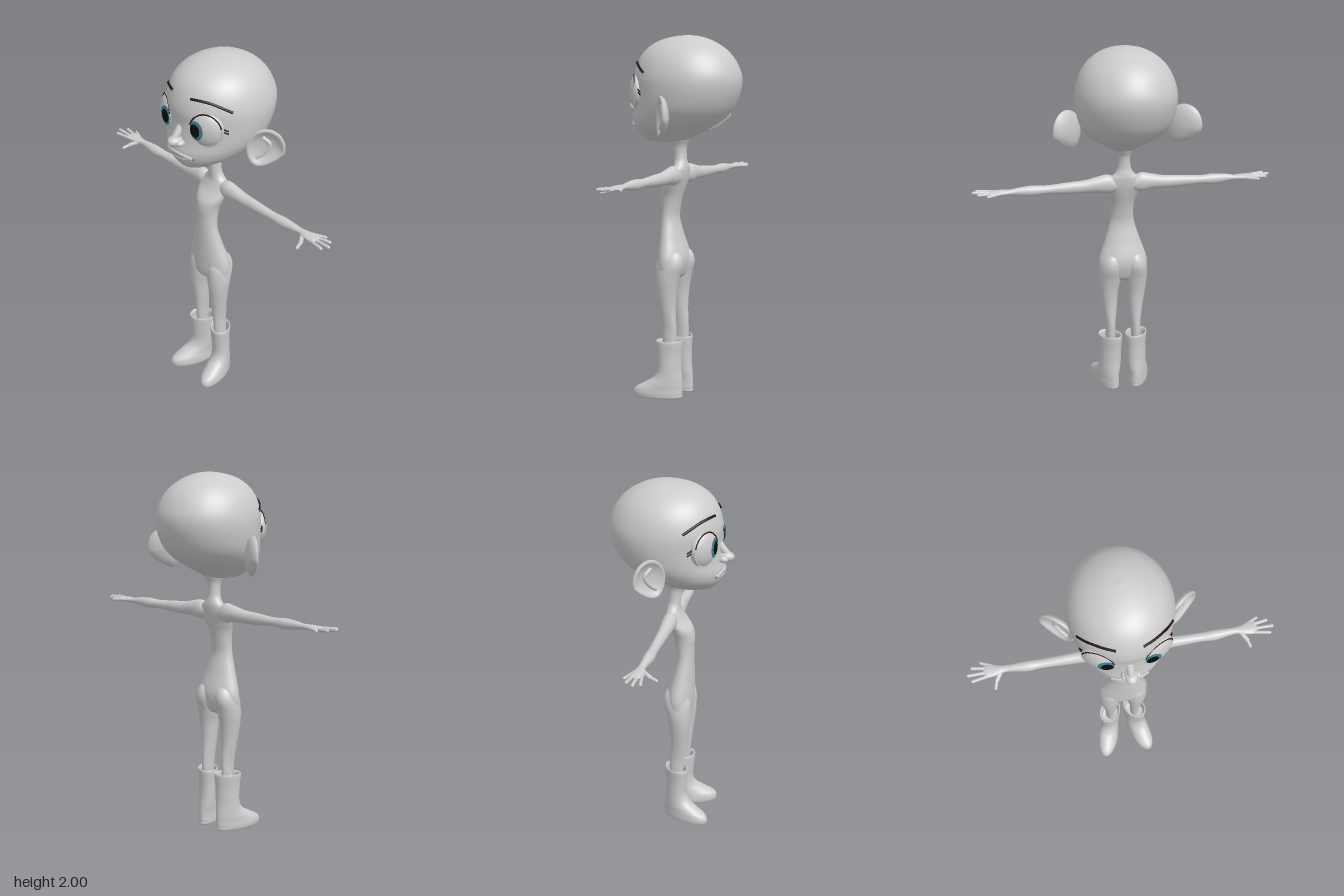
import * as THREE from 'three';

const paint = (color) => new THREE.MeshStandardMaterial({ color, side: THREE.DoubleSide });
const GREY = paint(0xcccccc), DARK = paint(0x2a1616), IRIS = paint(0x3d7f90), PUPIL = paint(0x080c0e);
const V = (x, y, z) => new THREE.Vector3(x, y, z);

function add(parent, name, geometry, material = GREY) {
  const mesh = new THREE.Mesh(geometry, material);
  mesh.name = name;
  parent.add(mesh);
  return mesh;
}

// Smooth sampler over cross-sections given as [y, halfWidth, zFront, zBack, xCentre]
function sampler(rows) {
  const curve = (f) => new THREE.CatmullRomCurve3(rows.map(f), false, 'catmullrom', 0.5);
  const a = curve((r) => V(r[0], r[1], r[4] || 0)), b = curve((r) => V(r[2], r[3], 0));
  return (t) => {
    const p = a.getPoint(t), q = b.getPoint(t);
    return { y: p.x, w: Math.max(p.y, 0), x: p.z, z: (q.x + q.y) / 2, d: Math.max((q.x - q.y) / 2, 0) };
  };
}

// Skin elliptical cross-sections, listed from bottom to top
function loft(rows, side = 1, seg = 40, steps = 6) {
  const at = sampler(rows), n = (rows.length - 1) * steps, pos = [], idx = [];
  for (let i = 0; i <= n; i++) {
    const r = at(i / n);
    for (let j = 0; j < seg; j++) {
      const a = (j / seg) * Math.PI * 2;
      pos.push(side * r.x + r.w * Math.sin(a), r.y, r.z + r.d * Math.cos(a));
      if (i === n) continue;
      const p = i * seg + j, q = i * seg + (j + 1) % seg;
      idx.push(p, q, q + seg, p, q + seg, p + seg);
    }
  }
  const g = new THREE.BufferGeometry();
  g.setAttribute('position', new THREE.Float32BufferAttribute(pos, 3));
  g.setIndex(idx);
  g.computeVertexNormals();
  return g;
}

// Rounded rod between two points
function rod(p, q, r) {
  const dir = q.clone().sub(p), g = new THREE.CapsuleGeometry(r, dir.length(), 6, 12);
  g.applyQuaternion(new THREE.Quaternion().setFromUnitVectors(V(0, 1, 0), dir.normalize()));
  const mid = p.clone().add(q).multiplyScalar(0.5);
  return g.translate(mid.x, mid.y, mid.z);
}

const tube = (pts, r) => new THREE.TubeGeometry(new THREE.CatmullRomCurve3(pts), 24, r, 8);
const blob = (x, y, z, rx, ry, rz) => new THREE.SphereGeometry(1, 24, 16).scale(rx, ry, rz).translate(x, y, z);

const HEAD = [
  [1.425, 0, 0.1, 0.1], [1.432, 0.065, 0.2, -0.02], [1.46, 0.115, 0.242, -0.075], [1.5, 0.178, 0.268, -0.15],
  [1.55, 0.222, 0.276, -0.23], [1.61, 0.252, 0.264, -0.285], [1.7, 0.268, 0.258, -0.325], [1.78, 0.266, 0.262, -0.332],
  [1.86, 0.24, 0.24, -0.3], [1.92, 0.197, 0.2, -0.25], [1.965, 0.135, 0.135, -0.18], [1.99, 0.07, 0.05, -0.11],
  [2, 0, -0.035, -0.035],
];
const TORSO = [
  [0.66, 0, 0.05, 0.05], [0.675, 0.075, 0.095, 0.01], [0.71, 0.13, 0.118, -0.012], [0.79, 0.136, 0.122, -0.026],
  [0.9, 0.1, 0.121, 0.003], [1, 0.07, 0.12, 0.025], [1.07, 0.063, 0.12, 0.018], [1.13, 0.068, 0.122, 0.004],
  [1.18, 0.084, 0.11, -0.012], [1.23, 0.098, 0.07, -0.026], [1.275, 0.085, 0.048, -0.032], [1.305, 0.052, 0.043, -0.03],
  [1.34, 0.036, 0.045, -0.024], [1.4, 0.033, 0.052, -0.026], [1.44, 0.046, 0.075, -0.045], [1.47, 0.05, 0.08, -0.05],
];
const LEG = [
  [0.28, 0.026, 0.08, 0.004, 0.075], [0.34, 0.027, 0.084, 0, 0.074], [0.4, 0.029, 0.09, 0, 0.073],
  [0.5, 0.041, 0.101, 0.006, 0.075], [0.6, 0.053, 0.114, 0, 0.078], [0.68, 0.065, 0.119, -0.015, 0.074],
  [0.76, 0.062, 0.117, -0.036, 0.07], [0.82, 0.04, 0.09, -0.015, 0.065], [0.85, 0, 0.05, 0.05, 0.065],
];
const BOOT = [
  [0, 0, 0.09, 0.09, 0.083], [0.004, 0.052, 0.215, -0.02, 0.083], [0.025, 0.062, 0.236, -0.031, 0.083],
  [0.055, 0.061, 0.225, -0.031, 0.083], [0.085, 0.058, 0.175, -0.03, 0.083], [0.12, 0.056, 0.122, -0.027, 0.08],
  [0.17, 0.056, 0.1, -0.022, 0.077], [0.25, 0.058, 0.104, -0.022, 0.075], [0.32, 0.063, 0.11, -0.028, 0.075],
  [0.33, 0.058, 0.104, -0.022, 0.075], [0.315, 0.052, 0.097, -0.016, 0.075], [0.26, 0.048, 0.09, -0.01, 0.075],
  [0.255, 0, 0.04, 0.04, 0.075],
];
// Arm and palm, listed from chest to knuckles with x in place of y
const ARM = [
  [0.03, 0.03, 0.035, -0.02], [0.09, 0.052, 0.046, -0.03, -0.008], [0.15, 0.043, 0.043, -0.029, -0.008],
  [0.22, 0.035, 0.037, -0.025, -0.002], [0.3, 0.032, 0.034, -0.022], [0.42, 0.024, 0.03, -0.019, 0.001],
  [0.5, 0.029, 0.034, -0.022, 0.002], [0.57, 0.022, 0.025, -0.018], [0.62, 0.015, 0.02, -0.018],
  [0.66, 0.015, 0.03, -0.026], [0.7, 0.014, 0.036, -0.035], [0.728, 0.01, 0.033, -0.034], [0.738, 0, 0, 0],
];
// Fingers: tip [x, y, z], root [x, z], radius
const FINGERS = [
  [[0.742, 1.238, -0.052], [0.68, -0.025], 0.008], [[0.79, 1.243, -0.028], [0.7, -0.014], 0.009],
  [[0.815, 1.245, 0.01], [0.7, 0.006], 0.009], [[0.795, 1.243, 0.044], [0.7, 0.025], 0.009],
];
const EAR = [[0, -0.026], [0.05, -0.024], [0.085, -0.012], [0.102, 0.004], [0.103, 0.014], [0.095, 0.02],
  [0.084, 0.014], [0.07, 0], [0.04, -0.009], [0, -0.011]];

// Depth of the face surface at a given x and y
const headAt = sampler(HEAD);
function faceZ(x, y) {
  let best = headAt(0);
  for (let i = 1; i <= 400; i++) {
    const r = headAt(i / 400);
    if (Math.abs(r.y - y) < Math.abs(best.y - y)) best = r;
  }
  return best.z + best.d * Math.sqrt(Math.max(0, 1 - (x / best.w) ** 2));
}
const onFace = (x, y, lift = 0) => V(x, y, faceZ(x, y) + lift);

function eye(s) {
  const g = new THREE.Group();
  g.name = s > 0 ? 'leftEye' : 'rightEye';
  g.position.set(s * 0.14, 1.7, 0.196);
  g.rotation.y = s * 0.5;
  g.scale.set(0.09, 0.095, 0.046);
  add(g, 'eyeball', new THREE.SphereGeometry(1, 40, 28));
  const look = new THREE.Quaternion().setFromUnitVectors(V(0, 1, 0), V(-s * 0.6, 0, 0.8));
  const cap = (r, angle) => new THREE.SphereGeometry(r, 32, 8, 0, Math.PI * 2, 0, angle).applyQuaternion(look);
  add(g, 'iris', cap(1.02, 0.57), IRIS);
  add(g, 'pupil', cap(1.04, 0.38), PUPIL);
  const lid = (r, arc, start) => new THREE.TorusGeometry(0.94, r, 10, 40, arc).rotateZ(start).translate(0, 0, 0.42);
  add(g, 'upperLashLine', lid(0.045, Math.PI * 0.84, Math.PI * 0.08), DARK);
  add(g, 'lowerLid', lid(0.04, Math.PI * 1.16, Math.PI * 0.92));
  return g;
}

function ear(s) {
  const g = new THREE.Group();
  g.name = s > 0 ? 'leftEar' : 'rightEar';
  g.position.set(s * 0.312, 1.572, -0.05);
  g.rotation.y = s * 0.66;
  // Dished shell, narrowing towards the lobe
  const shell = new THREE.LatheGeometry(EAR.map((p) => new THREE.Vector2(...p)).reverse(), 40).rotateX(Math.PI / 2);
  const p = shell.attributes.position;
  for (let i = 0; i < p.count; i++) {
    const y = p.getY(i), low = Math.max(0, -y / 0.1);
    p.setXY(i, p.getX(i) * (0.98 - 0.3 * low) - s * 0.025 * low, y * 1.08);
  }
  shell.computeVertexNormals();
  add(g, 'earShell', shell).rotation.z = -s * 0.2;
  add(g, 'earFold', tube([V(-s * 0.05, -0.06, 0.004), V(-s * 0.01, -0.03, 0.002), V(s * 0.02, 0.02, 0),
    V(-s * 0.02, 0.06, 0)], 0.011));
  return g;
}

export function createModel() {
  const model = new THREE.Group();
  add(model, 'head', loft(HEAD, 1, 56));
  add(model, 'torsoAndNeck', loft(TORSO));

  // Nose
  const nose = new THREE.Group();
  nose.name = 'nose';
  model.add(nose);
  add(nose, 'noseTip', blob(0, 1.613, 0.282, 0.035, 0.028, 0.048));
  add(nose, 'noseBridge', rod(V(0, 1.68, 0.247), V(0, 1.625, 0.29), 0.02));

  // Lips meeting in a crease
  const lip = (y, r, w) => tube([-1, -0.5, 0, 0.5, 1].map((u) => onFace(u * w, y(u), -0.004)), r);
  add(model, 'upperLip', lip((u) => 1.541 - 0.012 * u * u, 0.012, 0.09));
  add(model, 'lowerLip', lip((u) => 1.52 + 0.006 * u * u, 0.012, 0.075));
  add(model, 'mouthLine', lip((u) => 1.53 - 0.003 * u * u, 0.0095, 0.095), paint(0x777777));

  for (const s of [1, -1]) {
    const side = s > 0 ? 'left' : 'right';
    model.add(eye(s), ear(s));
    add(model, side + 'Nostril', blob(s * 0.03, 1.606, 0.276, 0.02, 0.018, 0.026));
    add(model, side + 'Brow', tube([[0.065, 1.853], [0.11, 1.853], [0.16, 1.843], [0.2, 1.822], [0.232, 1.795]]
      .map(([x, y]) => onFace(s * x, y, 0.002)), 0.007), DARK);
    for (const y of [1.7, 1.715])
      add(model, side + 'Lash', rod(onFace(s * 0.212, y, 0.012), onFace(s * 0.227, y - 0.015, 0.012), 0.004), DARK);

    // Arm, palm, fingers and thumb
    add(model, side + 'Arm', loft(ARM, s).rotateZ(-s * Math.PI / 2).translate(0, 1.24, 0));
    for (const [tip, root, r] of FINGERS)
      add(model, side + 'Finger', rod(V(s * root[0], 1.24, root[1]), V(s * tip[0], tip[1], tip[2]), r));
    add(model, side + 'ThumbBase', rod(V(s * 0.645, 1.235, 0.015), V(s * 0.672, 1.222, 0.055), 0.012));
    add(model, side + 'ThumbTip', rod(V(s * 0.672, 1.222, 0.055), V(s * 0.683, 1.212, 0.092), 0.009));

    // Leg, and a boot whose toe turns outwards
    add(model, side + 'Leg', loft(LEG, s));
    const boot = loft(BOOT, s), p = boot.attributes.position;
    for (let i = 0; i < p.count; i++) p.setX(i, p.getX(i) + s * 0.25 * (p.getZ(i) - 0.04));
    boot.computeVertexNormals();
    add(model, side + 'Boot', boot);
  }
  return model;
}
